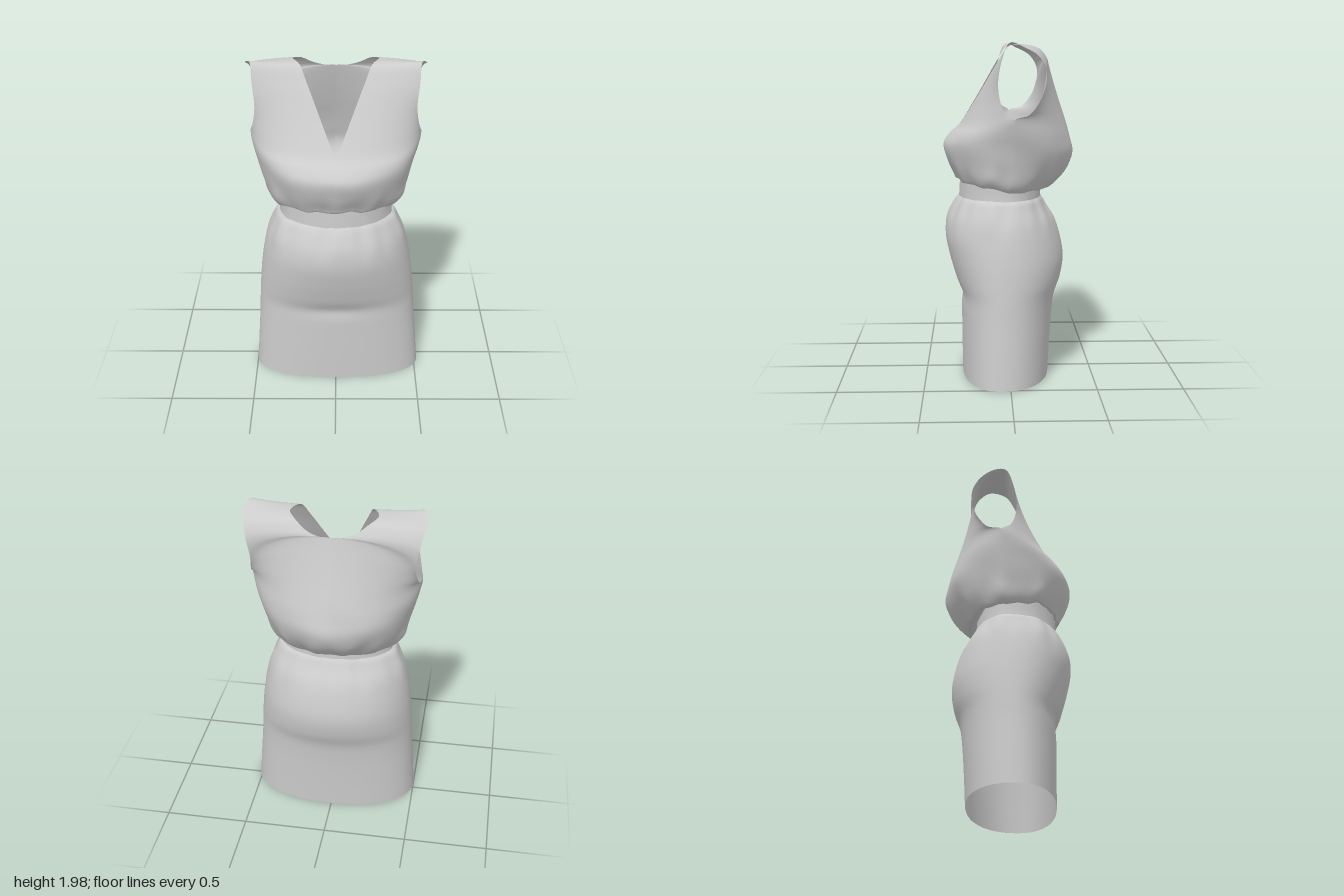
import * as THREE from 'three';
import { mergeGeometries, mergeVertices } from 'three/addons/utils/BufferGeometryUtils.js';

const material = new THREE.MeshStandardMaterial({ color: 0xcccccc, side: THREE.DoubleSide });
const bump = (v, centre, width) => Math.exp(-(((v - centre) / width) ** 2));
const rounded = (v, power) => Math.sign(v) * Math.abs(v) ** power;

// Grid surface: point(i, j) for columns i and rows j
function grid(cols, rows, point, flip = false) {
  const pos = [], index = [];
  for (let j = 0; j <= rows; j++)
    for (let i = 0; i <= cols; i++) pos.push(...point(i, j));
  for (let j = 0; j < rows; j++)
    for (let i = 0; i < cols; i++) {
      const a = j * (cols + 1) + i, b = a + 1, c = a + cols + 1, d = c + 1;
      if (flip) index.push(a, d, b, a, c, d);
      else index.push(a, b, d, a, d, c);
    }
  const g = new THREE.BufferGeometry();
  g.setAttribute('position', new THREE.Float32BufferAttribute(pos, 3));
  g.setIndex(index);
  return g;
}

function finish(geometries, name) {
  const g = mergeVertices(mergeGeometries(geometries), 1e-3);
  g.computeVertexNormals();
  const mesh = new THREE.Mesh(g, material);
  mesh.name = name;
  return mesh;
}

// Irregular gathers around the body
function gathers(angle) {
  return Math.sin(angle * 11 + 0.6) * 0.5 + Math.sin(angle * 19 + 2) * 0.3 + Math.sin(angle * 6 + 1) * 0.4;
}

// Closed loft; rows are [y, half width, front z, back z].
// Towards the hem the side seams move forward and the section gets squarer.
function loft(name, rows, steps, deform) {
  const cols = 120;
  const columns = Array.from({ length: cols + 1 }, (_, i) => {
    const a = (i / cols) * Math.PI * 2 - Math.PI;
    return new THREE.CatmullRomCurve3(rows.map(([y, w, front, back]) => {
      const low = Math.max(0, 1 - y), side = 0.02 + 0.035 * low, power = 1 - 0.1 * low;
      const s = rounded(Math.sin(a), power), c = rounded(Math.cos(a), power);
      return new THREE.Vector3(w * s, y, side + (c > 0 ? front - side : side - back) * c);
    }));
  });
  return finish([grid(cols, steps, (i, j) => {
    const p = columns[i].getPoint(j / steps);
    deform(p);
    return [p.x, p.y, p.z];
  })], name);
}

// Closed blouse below the armholes: [side y, half width, side z, front y, front z, back y, back z]
const blouse = [
  [1.17, 0.335, 0.02, 1.20, 0.285, 1.16, -0.185],
  [1.14, 0.365, 0.01, 1.185, 0.305, 1.14, -0.23],
  [1.18, 0.405, 0, 1.22, 0.325, 1.18, -0.295],
  [1.28, 0.43, -0.01, 1.30, 0.365, 1.26, -0.36],
  [1.40, 0.46, -0.02, 1.40, 0.388, 1.35, -0.388],
  [1.49, 0.485, -0.02, 1.46, 0.35, 1.44, -0.37],
];

// Open part from the front neck point over the shoulder to the back, neck edge to armhole edge:
// [neck x, y, z, armhole x, y, z, roundness]
const shoulder = [
  [0, 1.51, 0.295, 0.5, 1.565, -0.02, 0.95],
  [0.04, 1.60, 0.235, 0.487, 1.605, 0.035, 0.8],
  [0.1, 1.74, 0.15, 0.465, 1.74, 0.07, 0.5],
  [0.165, 1.89, 0.062, 0.478, 1.89, 0.05, 0.2],
  [0.205, 1.975, 0, 0.488, 1.99, 0.005, 0],
  [0.248, 1.98, -0.1, 0.523, 1.965, -0.07, 0],
  [0.2, 1.958, -0.175, 0.505, 1.92, -0.15, 0.1],
  [0.13, 1.915, -0.215, 0.488, 1.85, -0.195, 0.2],
  [0.06, 1.895, -0.231, 0.476, 1.79, -0.2, 0.25],
  [0, 1.89, -0.235, 0.468, 1.72, -0.185, 0.35],
  [0, 1.77, -0.268, 0.474, 1.655, -0.155, 0.5],
  [0, 1.65, -0.305, 0.487, 1.59, -0.1, 0.65],
  [0, 1.53, -0.345, 0.5, 1.565, -0.02, 0.75],
];

function bodice() {
  const rows = [
    ...blouse.map(([y, w, z, fy, fz]) => [0, fy, fz, w, y, z, 1]),
    ...shoulder,
    // The back is fuller at the centre than at the sides
    ...blouse.map(([y, w, z, , , by, bz], i) => [0, by, bz, w, y, z, i < 2 ? 1 : 0.8]).reverse(),
  ];
  const cols = 40, steps = (rows.length - 1) * 5;
  const columns = Array.from({ length: cols + 1 }, (_, i) => {
    const s = i / cols, t = (s * Math.PI) / 2;
    return new THREE.CatmullRomCurve3(rows.map(([xi, yi, zi, xo, yo, zo, k]) => new THREE.Vector3(
      xi + (xo - xi) * THREE.MathUtils.lerp(s, Math.sin(t), k),
      yi + (yo - yi) * s * s,
      zo + (zi - zo) * THREE.MathUtils.lerp(1 - s, Math.cos(t), k))));
  });
  const half = (sign) => grid(cols, steps, (i, j) => {
    const p = columns[i].getPoint(j / steps);
    p.x = sign * Math.max(0, p.x);
    // Puckers above the waist and soft drapes below the bust
    const a = Math.atan2(p.x, p.z), f = bump(p.y, 1.2, 0.08);
    const r = 1 + 0.028 * f * gathers(a) + 0.008 * bump(p.y, 1.38, 0.1) * Math.sin(a * 7 + p.y * 9);
    return [p.x * r, p.y + 0.01 * f * gathers(a + 1), p.z * r];
  }, sign < 0);
  return finish([half(1), half(-1)], 'bodice');
}

// Gathers under the band, a soft crease across the front and a slight sideways flare
function drapeSkirt(p) {
  const r = 1 + 0.025 * bump(p.y, 1.02, 0.1) * gathers(Math.atan2(p.x, p.z));
  p.x = p.x * r + 0.01 * (1 - p.y);
  p.z *= r;
  if (p.z > 0) p.z -= 0.01 * bump(p.y, 0.5, 0.04) * bump(p.x, 0, 0.2);
}

// Fine elastic ripple
function rippleBand(p) {
  const r = 1 + 0.004 * gathers(Math.atan2(p.x, p.z));
  p.x *= r;
  p.z *= r;
}

export function createModel() {
  const dress = new THREE.Group();
  dress.name = 'dress';

  dress.add(bodice());

  dress.add(loft('waistband', [
    [1.06, 0.34, 0.298, -0.193],
    [1.12, 0.335, 0.295, -0.19],
    [1.2, 0.335, 0.29, -0.185],
  ], 8, rippleBand));

  dress.add(loft('skirt', [
    [0.01, 0.51, 0.28, -0.24],
    [0.2, 0.497, 0.283, -0.25],
    [0.4, 0.482, 0.285, -0.265],
    [0.5, 0.477, 0.288, -0.28],
    [0.6, 0.47, 0.32, -0.315],
    [0.72, 0.458, 0.355, -0.332],
    [0.85, 0.438, 0.38, -0.31],
    [0.95, 0.415, 0.37, -0.275],
    [1.03, 0.382, 0.335, -0.225],
    [1.07, 0.36, 0.31, -0.203],
    [1.085, 0.337, 0.296, -0.191],
  ], 60, drapeSkirt));

  return dress;
}
